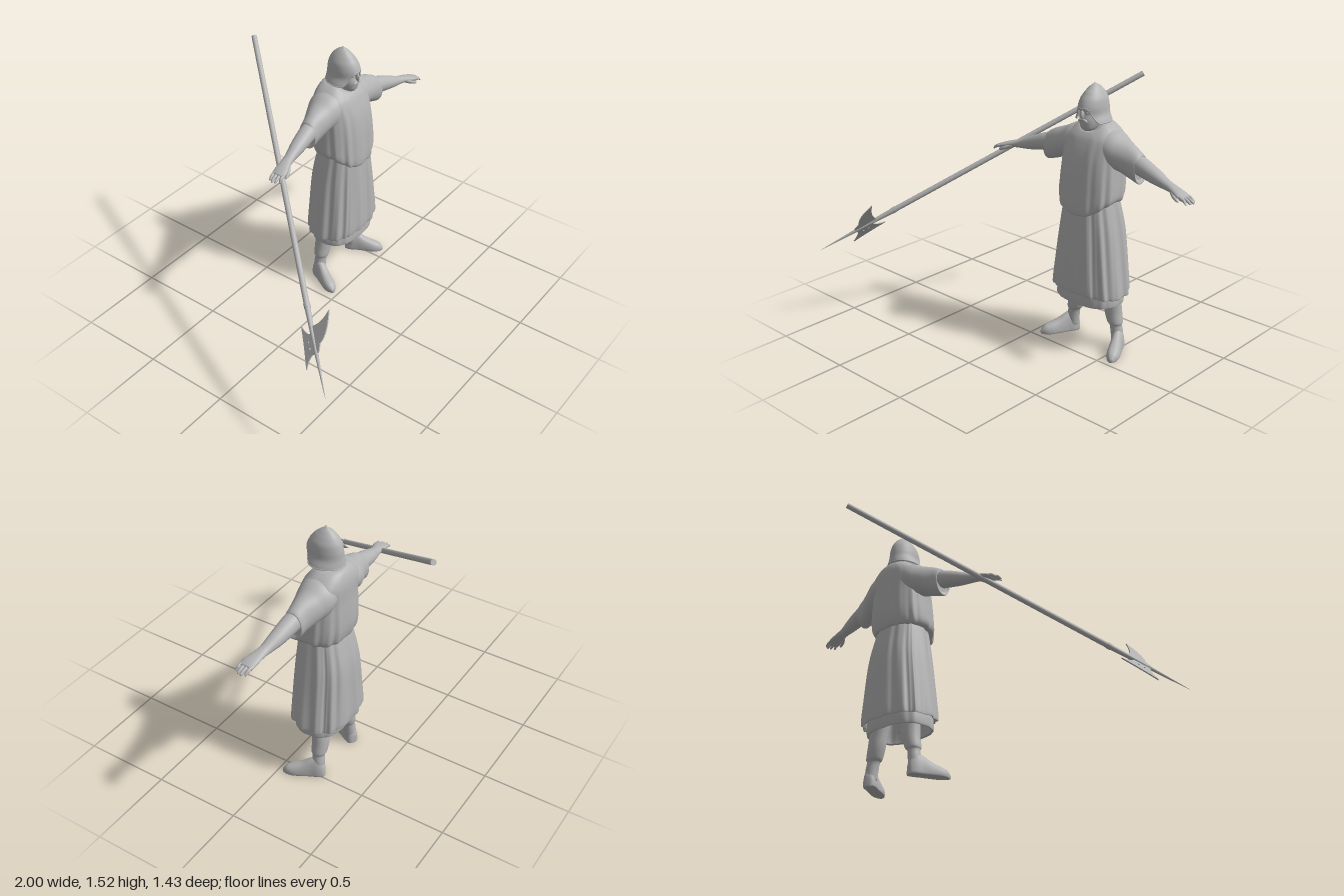
import * as THREE from 'three';

const grey = new THREE.MeshStandardMaterial({ color: 0xb4b4b4, side: THREE.DoubleSide });
grey.name = 'stone grey';

const mesh = (geo, name, parent) => {
  const m = new THREE.Mesh(geo, grey);
  m.name = name;
  parent.add(m);
  return m;
};

// Catmull-Rom blend through rows of numbers, t in 0..1
function sample(rows, t) {
  const f = t * (rows.length - 1), i = Math.min(Math.floor(f), rows.length - 2), k = f - i;
  const at = j => rows[Math.max(0, Math.min(rows.length - 1, j))];
  const [p, q, r, s] = [at(i - 1), at(i), at(i + 1), at(i + 2)];
  return q.map((_, c) => q[c] + 0.5 * k * (r[c] - p[c] +
    k * (2 * p[c] - 5 * q[c] + 4 * r[c] - s[c] + k * (3 * (q[c] - r[c]) + s[c] - p[c]))));
}

// Skin of closed rings; point(t, angle) gives [x, y, z]
function loft(steps, sides, point, cap = true) {
  const rings = [];
  for (let i = 0; i <= steps; i++) {
    const ring = [];
    for (let j = 0; j < sides; j++) ring.push(point(i / steps, j / sides * Math.PI * 2));
    rings.push(ring);
  }
  const middle = ring => {
    const c = [0, 1, 2].map(k => ring.reduce((s, p) => s + p[k], 0) / sides);
    return ring.map(() => c);
  };
  if (cap) {
    rings.unshift(middle(rings[0]));
    rings.push(middle(rings[rings.length - 1]));
  }
  const index = [];
  for (let i = 0; i < rings.length - 1; i++) for (let j = 0; j < sides; j++) {
    const a = i * sides + j, b = i * sides + (j + 1) % sides;
    index.push(a, b, b + sides, a, b + sides, a + sides);
  }
  const g = new THREE.BufferGeometry();
  g.setAttribute('position', new THREE.Float32BufferAttribute(rings.flat(2), 3));
  g.setIndex(index);
  g.computeVertexNormals();
  return g;
}

const pw = (v, p) => Math.sign(v) * Math.abs(v) ** p;
const wrap = a => (a > Math.PI ? a - 2 * Math.PI : a);

// Cloth or head: rows [y, half width, front z, back z, front sag, fold depth]
function upright(rows, p = 0.8, creases = [], steps = 40, sides = 128, cap = false) {
  return loft(steps, sides, (t, a) => {
    const [y, rx, zf, zb, sag = 0, fold = 0] = sample(rows, t);
    const w = wrap(a);
    let k = 1 + fold * (Math.cos(13 * w + 0.4 * Math.sin(2 * w) + y * 2) + 0.5 * Math.cos(21 * w) - 1.2);
    for (const c of creases) k -= fold * 2.2 * Math.exp(-(((w - c) / 0.035) ** 2));
    const front = Math.max(0, Math.cos(a));
    return [rx * k * pw(Math.sin(a), p), y - sag * front * front,
      (zf + zb) / 2 + (zf - zb) / 2 * k * pw(Math.cos(a), p)];
  }, cap);
}

// Limb along x: rows [x, y, z, half height, half depth]
const sideways = (rows, steps = 24, sides = 28) => loft(steps, sides, (t, a) => {
  const [x, y, z, ry, rz] = sample(rows, t);
  return [x, y + ry * Math.cos(a), z + rz * Math.sin(a)];
});

function addArm(parent) {
  const arm = new THREE.Group();
  arm.name = 'arm';
  parent.add(arm);
  mesh(sideways([[0.03, 1.2, -0.175, 0.085, 0.1], [0.13, 1.175, -0.18, 0.1, 0.105],
    [0.2, 1.152, -0.175, 0.09, 0.085], [0.27, 1.127, -0.166, 0.088, 0.063],
    [0.318, 1.107, -0.162, 0.08, 0.056], [0.31, 1.112, -0.162, 0.06, 0.045]], 36, 36), 'sleeve', arm);
  mesh(sideways([[0.2, 1.15, -0.17, 0.055, 0.05], [0.32, 1.128, -0.158, 0.053, 0.05],
    [0.43, 1.098, -0.146, 0.042, 0.042], [0.51, 1.077, -0.134, 0.027, 0.031],
    [0.56, 1.068, -0.124, 0.02, 0.034], [0.61, 1.056, -0.113, 0.016, 0.041],
    [0.645, 1.045, -0.11, 0.012, 0.038]]), 'forearm', arm);
  for (let i = 0; i < 4; i++) {
    const z = -0.139 + i * 0.02, end = [0.68, 0.69, 0.686, 0.672][i];
    mesh(sideways([[0.625, 1.05, z, 0.01, 0.01], [0.655, 1.043, z + 0.002, 0.0095, 0.009],
      [end - 0.006, 1.032, z + 0.005, 0.007, 0.007], [end, 1.029, z + 0.005, 0.002, 0.002]], 8, 10), 'finger', arm);
  }
  mesh(sideways([[0.55, 1.064, -0.107, 0.012, 0.012], [0.585, 1.048, -0.083, 0.012, 0.012],
    [0.615, 1.037, -0.071, 0.008, 0.008], [0.625, 1.034, -0.07, 0.002, 0.002]], 10, 12), 'thumb', arm);
  return arm;
}

function addLeg(parent) {
  const leg = new THREE.Group();
  leg.name = 'leg';
  parent.add(leg);
  // rows [y, x, z, half width, half depth]
  const shin = [[0.04, 0.165, -0.205, 0.034, 0.036], [0.1, 0.16, -0.202, 0.035, 0.036],
    [0.14, 0.153, -0.2, 0.036, 0.035], [0.16, 0.147, -0.2, 0.046, 0.044], [0.22, 0.132, -0.2, 0.052, 0.047],
    [0.3, 0.123, -0.195, 0.056, 0.047], [0.42, 0.11, -0.18, 0.065, 0.06]];
  mesh(loft(36, 28, (t, a) => {
    const [y, x, z, rx, rz] = sample(shin, t);
    return [x + rx * Math.sin(a), y, z + rz * Math.cos(a)];
  }), 'shin', leg);
  // rows [length, half width, height]
  const sole = [[-0.04, 0.014, 0.05], [-0.03, 0.03, 0.085], [0, 0.037, 0.12], [0.04, 0.035, 0.11],
    [0.09, 0.037, 0.08], [0.14, 0.037, 0.06], [0.175, 0.027, 0.045], [0.198, 0.008, 0.02]];
  const boot = mesh(loft(28, 28, (t, a) => {
    const [z, w, h] = sample(sole, t), s = Math.sin(a);
    return [w * pw(Math.cos(a), 0.8), s < 0 ? 0.014 * (1 + Math.max(-1, s * 3)) : 0.014 + (h - 0.014) * s, z];
  }), 'boot', leg);
  boot.position.set(0.168, 0, -0.205);
  boot.rotation.y = 0.48;
  return leg;
}

function addHead(parent) {
  const head = new THREE.Group();
  head.name = 'head';
  parent.add(head);
  mesh(upright([[1.2, 0.07, -0.11, -0.25], [1.28, 0.057, -0.12, -0.24], [1.36, 0.055, -0.12, -0.24]], 1, [], 8, 32), 'neck', head);
  mesh(upright([[1.268, 0.02, -0.085, -0.13], [1.282, 0.038, -0.07, -0.16], [1.31, 0.05, -0.062, -0.2],
    [1.335, 0.054, -0.06, -0.22], [1.365, 0.056, -0.068, -0.23], [1.385, 0.057, -0.06, -0.235],
    [1.42, 0.055, -0.07, -0.235]], 0.9, [], 24, 40, true), 'face', head);
  // nose, brow, eyes and moustache
  const blob = (name, x, y, z, sx, sy, sz) => {
    const m = mesh(new THREE.SphereGeometry(1, 16, 12), name, head);
    m.position.set(x, y, z);
    m.scale.set(sx, sy, sz);
    return m;
  };
  blob('nose', 0, 1.362, -0.06, 0.009, 0.024, 0.015);
  for (const s of [-1, 1]) {
    blob('eye', s * 0.022, 1.373, -0.071, 0.009, 0.005, 0.006);
    blob('brow', s * 0.022, 1.388, -0.066, 0.018, 0.007, 0.008).rotation.z = -s * 0.15;
    blob('moustache', s * 0.015, 1.331, -0.062, 0.018, 0.008, 0.008).rotation.z = -s * 0.4;
  }
  // helmet with a cut-out over the face: profile rows [y, half width, front z, back z]
  const shell = [[1.318, 0.092, -0.045, -0.258], [1.36, 0.075, -0.05, -0.253], [1.4, 0.071, -0.05, -0.25],
    [1.44, 0.063, -0.067, -0.24], [1.475, 0.044, -0.095, -0.219], [1.5, 0.024, -0.125, -0.192], [1.52, 0.001, -0.156, -0.158]];
  const widths = y => {
    let i = 0;
    while (i < shell.length - 2 && y > shell[i + 1][0]) i++;
    return sample(shell, (i + (y - shell[i][0]) / (shell[i + 1][0] - shell[i][0])) / (shell.length - 1));
  };
  const helmet = inset => (t, a) => {
    const rim = 1.397 - 0.079 * THREE.MathUtils.smoothstep(Math.abs(wrap(a)), 0.4, 1.15);
    const y = rim + (1.52 - rim) * t, [, rx, zf, zb] = widths(y);
    return [(rx - inset) * Math.sin(a), y, (zf + zb) / 2 + ((zf - zb) / 2 - inset) * Math.cos(a)];
  };
  mesh(loft(30, 72, helmet(0), false), 'helmet', head);
  const rimAt = a => new THREE.Vector3(...helmet(0.002)(0, a));
  const rimPath = new THREE.CatmullRomCurve3(Array.from({ length: 48 }, (_, i) => rimAt(i / 48 * Math.PI * 2)), true);
  mesh(new THREE.TubeGeometry(rimPath, 96, 0.004, 8, true), 'helmetRim', head);
}

function addPolearm(parent) {
  const pole = new THREE.Group();
  pole.name = 'polearm';
  parent.add(pole);
  const along = new THREE.Vector3(-1.215, -0.997, 1.42).normalize();
  const out = new THREE.Vector3(0.232, 0.697, 0.683);
  out.addScaledVector(along, -out.dot(along)).normalize();
  pole.applyMatrix4(new THREE.Matrix4().makeBasis(out, along, out.clone().cross(along)));
  pole.position.set(0.215, 1.447, -0.705);
  const rod = (name, from, to, r0, r1, sides = 20) => {
    const m = mesh(new THREE.CylinderGeometry(r1, r0, to - from, sides), name, pole);
    m.position.y = (from + to) / 2;
    return m;
  };
  rod('shaft', 0, 1.63, 0.0155, 0.0155);
  rod('collar', 1.615, 1.64, 0.018, 0.017);
  rod('socket', 1.63, 1.87, 0.0155, 0.009);
  rod('spike', 1.86, 2.115, 0.011, 0.0006, 8);
  // blade outline: x outwards, y along the shaft
  const s = new THREE.Shape();
  s.moveTo(0.005, 1.74);
  s.quadraticCurveTo(0.07, 1.755, 0.142, 1.704);
  s.quadraticCurveTo(0.1, 1.82, 0.04, 1.84);
  s.lineTo(0.02, 1.88);
  s.lineTo(-0.015, 1.88);
  s.quadraticCurveTo(-0.045, 1.875, -0.087, 1.938);
  s.quadraticCurveTo(-0.07, 1.83, -0.065, 1.713);
  s.quadraticCurveTo(-0.04, 1.775, -0.012, 1.775);
  s.lineTo(-0.008, 1.74);
  for (const y of [1.81, 1.845]) s.holes.push(new THREE.Path().absarc(-0.035, y, 0.005, 0, Math.PI * 2, true));
  const blade = mesh(new THREE.ExtrudeGeometry(s, { depth: 0.007, bevelEnabled: false, curveSegments: 10 }), 'blade', pole);
  blade.position.z = -0.0035;
}

export function createModel() {
  const model = new THREE.Group();
  model.name = 'guard';
  const figure = new THREE.Group();
  figure.name = 'figure';
  figure.position.x = 0.315;
  model.add(figure);

  // tunic top, bloused over the waist
  mesh(upright([[0.9, 0.13, -0.04, -0.26, 0.07, 0.01], [0.885, 0.165, -0.012, -0.28, 0.075, 0.02],
    [0.91, 0.185, 0.0, -0.293, 0.07, 0.022], [0.97, 0.185, -0.005, -0.302, 0.03, 0.018],
    [1.05, 0.18, -0.015, -0.302, 0, 0.014], [1.14, 0.175, -0.032, -0.298, 0, 0.01],
    [1.22, 0.175, -0.062, -0.296, 0, 0.005], [1.27, 0.13, -0.085, -0.285, 0.015, 0.002],
    [1.3, 0.085, -0.1, -0.265, 0.035, 0], [1.305, 0.06, -0.12, -0.24, 0.04, 0]], 0.8), 'tunicTop', figure);
  // skirt with pleats and a front slit
  mesh(upright([[0.35, 0.215, -0.02, -0.305, -0.01, 0.025], [0.345, 0.228, 0.004, -0.325, -0.015, 0.03],
    [0.5, 0.21, 0.002, -0.322, 0, 0.028], [0.7, 0.183, -0.008, -0.313, 0, 0.024],
    [0.84, 0.158, -0.02, -0.287, 0, 0.018], [0.92, 0.14, -0.03, -0.265, 0, 0.01]],
    0.78, [0, 0.55, -0.55, 2.1, -2.1]), 'skirt', figure);
  mesh(upright([[0.288, 0.185, -0.03, -0.28, 0, 0.008], [0.286, 0.198, -0.018, -0.292, 0, 0.008],
    [0.34, 0.197, -0.018, -0.295, 0, 0.008], [0.45, 0.18, -0.03, -0.285, 0, 0.008]], 0.78), 'underskirt', figure);

  for (const add of [addArm, addLeg]) {
    add(figure);
    add(figure).scale.x = -1;
  }
  addHead(figure);
  addPolearm(model);
  return model;
}
